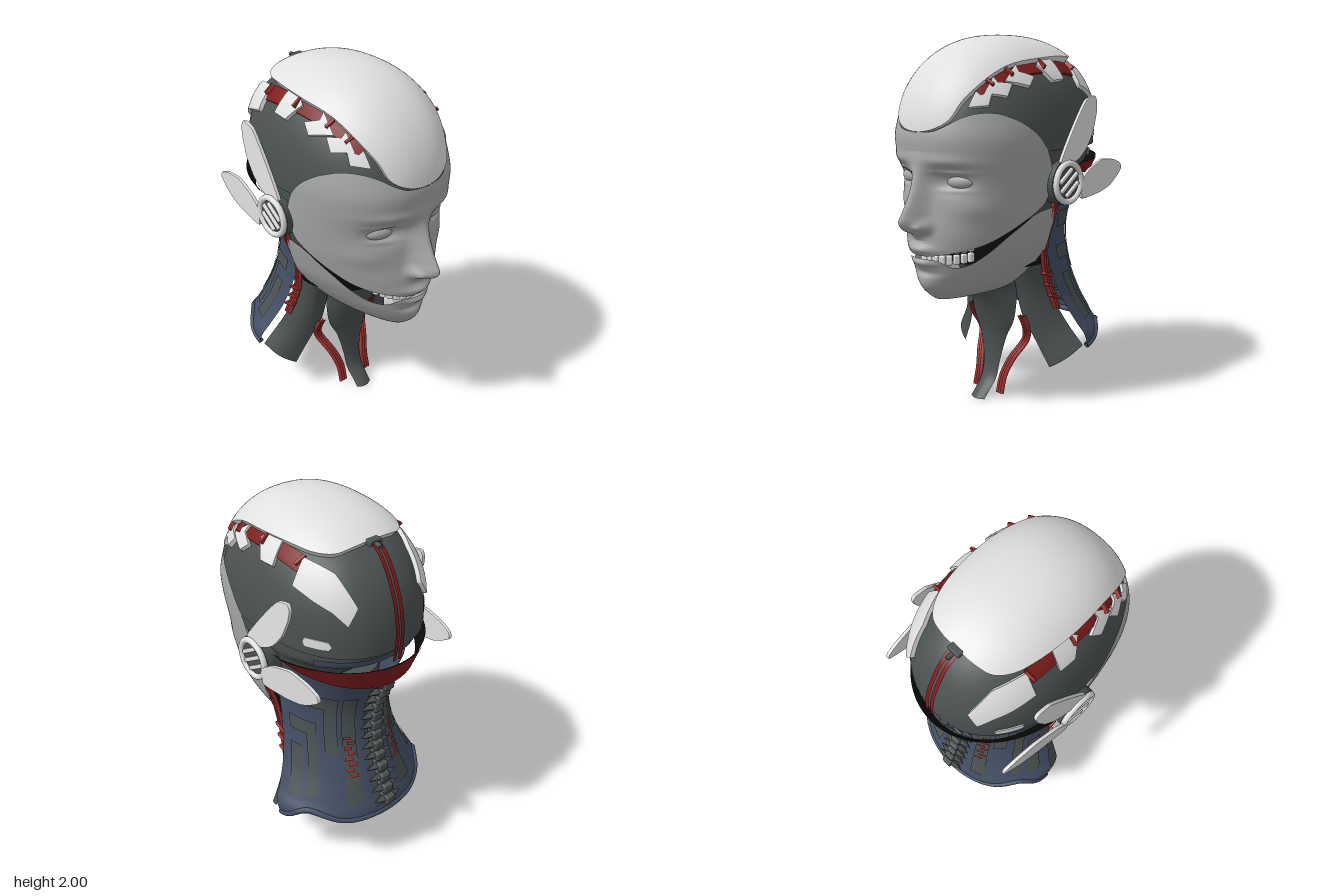
import * as THREE from 'three';
import { ParametricGeometry } from 'three/addons/geometries/ParametricGeometry.js';
import { RoundedBoxGeometry } from 'three/addons/geometries/RoundedBoxGeometry.js';

const V = (x, y, z) => new THREE.Vector3(x, y, z);
const rad = THREE.MathUtils.degToRad, lerp = THREE.MathUtils.lerp;
const spow = (v, e) => Math.sign(v) * Math.abs(v) ** e;
const bump = (x, y, cx, cy, sx, sy) => Math.exp(-(((x - cx) / sx) ** 2) - ((y - cy) / sy) ** 2);

// smooth lookup through rows [x, value, value...]
const tab = rows => (x, k = 1) => {
  const n = rows.length - 1;
  x = Math.min(Math.max(x, rows[0][0]), rows[n][0]);
  let i = 0;
  while (i < n - 1 && x > rows[i + 1][0]) i++;
  const slope = j => {
    const a = rows[Math.max(j - 1, 0)], b = rows[Math.min(j + 1, n)];
    return (b[k] - a[k]) / (b[0] - a[0]);
  };
  const h = rows[i + 1][0] - rows[i][0], t = (x - rows[i][0]) / h, t2 = t * t, t3 = t2 * t;
  return (2 * t3 - 3 * t2 + 1) * rows[i][k] + (t3 - 2 * t2 + t) * h * slope(i)
    + (3 * t2 - 2 * t3) * rows[i + 1][k] + (t3 - t2) * h * slope(i + 1);
};
const surf = (fn, nu, nv) => new ParametricGeometry((u, v, t) => t.copy(fn(u, v)), nu, nv);
const curve = pts => new THREE.CatmullRomCurve3(pts.map(p => V(...p)));
const tube = (pts, r, n = 40) => new THREE.TubeGeometry(curve(pts), n, r, 8);

// cranium dome, rounder at the front: push any point radially onto it
const C = V(0, 1.42, -0.04), S = V(0.425, 0.54, 0.59);
const roundness = t => 2.3 - 0.2 * t;
function onDome(p, off = 0, rise = 0) {
  const d = p.clone().sub(C).divide(S), n = roundness(d.z / d.length());
  const plan = (Math.abs(d.x) ** 2.3 + Math.abs(d.z) ** 2.3) ** (1 / 2.3);
  d.divideScalar((plan ** n + Math.abs(d.y) ** n) ** (1 / n));
  return d.clone().multiply(S).multiplyScalar(1 + 2 * (off + rise * Math.max(0, d.y))).add(C);
}
function lift(p) {
  if (p.length === 3) return V(...p);
  const dz = (p[1] - C.z) / S.z, n = roundness(dz);
  const r = (Math.abs(p[0] / S.x) ** 2.3 + Math.abs(dz) ** 2.3) ** (1 / 2.3);
  return V(p[0], C.y + S.y * Math.max(0.02, 1 - r ** n) ** (1 / n), p[1]);
}
// thick plate hugging the dome inside an outline of [x, z] or [x, y, z]
function domePlate(outline, off, rise = 0, smooth = false, thick = 0.03, n = 8) {
  const pts = outline.map(lift);
  const edge = smooth ? new THREE.CatmullRomCurve3(pts, true).getPoints(96).slice(0, -1)
    : pts.flatMap((p, i) => [0, 1, 2, 3, 4].map(k => p.clone().lerp(pts[(i + 1) % pts.length], k / 5)));
  const m = edge.length, c = V(0, 0, 0), nrm = V(0, 0, 0);
  edge.forEach(p => c.addScaledVector(p, 1 / m));
  edge.forEach((p, i) => nrm.add(p.clone().sub(c).cross(edge[(i + 1) % m].clone().sub(c))));
  if (nrm.dot(c.clone().sub(C)) < 0) edge.reverse();
  const out = [onDome(c, off, rise)], idx = [];
  for (let k = 1; k <= n; k++) edge.forEach(p => out.push(onDome(c.clone().lerp(p, k / n), off, rise)));
  edge.forEach(p => out.push(onDome(p, off, rise)));
  edge.forEach(p => out.push(onDome(p, off - thick, rise)));
  for (let i = 0; i < m; i++) {
    const j = (i + 1) % m;
    idx.push(0, 1 + i, 1 + j);
    for (let k = 0; k <= n; k++) {
      if (k === n - 1) continue;
      const a = 1 + k * m, b = a + m;
      idx.push(a + i, b + i, b + j, a + i, b + j, a + j);
    }
  }
  const g = new THREE.BufferGeometry().setFromPoints(out);
  g.setIndex(idx);
  g.computeVertexNormals();
  return g;
}

// face: half width and front depth by height, plus soft features
const faceRows = tab([[0.62, 0.06, 0.37], [0.65, 0.13, 0.44], [0.7, 0.2, 0.49], [0.78, 0.265, 0.53], [0.85, 0.31, 0.54],
  [0.92, 0.345, 0.555], [1, 0.37, 0.555], [1.1, 0.395, 0.54], [1.2, 0.41, 0.53], [1.3, 0.42, 0.535], [1.4, 0.427, 0.558],
  [1.5, 0.43, 0.566], [1.6, 0.417, 0.54], [1.66, 0.4, 0.522]]);
const noseRows = tab([[0.98, 0, 0.05], [1.01, 0.03, 0.05], [1.045, 0.105, 0.05], [1.085, 0.14, 0.05], [1.12, 0.128, 0.048],
  [1.2, 0.088, 0.048], [1.3, 0.046, 0.053], [1.36, 0.02, 0.07], [1.43, 0, 0.09]]);
function face(a, y) {
  const e = lerp(1.03, 0.87, THREE.MathUtils.smoothstep(y, 0.85, 1.5));
  const x = faceRows(y, 1) * spow(Math.sin(a), e), ax = Math.abs(x);
  let z = C.z + (faceRows(y, 2) - C.z) * spow(Math.cos(a), e);
  z += noseRows(y, 1) * Math.exp(-((x / noseRows(y, 2)) ** 2)) + 0.045 * bump(ax, y, 0.06, 1.055, 0.025, 0.028);
  z += -0.045 * bump(ax, y, 0.165, 1.285, 0.085, 0.055) + 0.012 * bump(ax, y, 0.17, 1.385, 0.11, 0.03);
  z += 0.012 * bump(ax, y, 0.18, 1.33, 0.07, 0.012) + 0.008 * bump(ax, y, 0.18, 1.24, 0.07, 0.014);
  z += 0.015 * bump(ax, y, 0.27, 1.15, 0.08, 0.06) + 0.025 * bump(x, y, 0, 0.935, 0.09, 0.024);
  z += 0.022 * bump(x, y, 0, 0.862, 0.085, 0.02) - 0.016 * bump(x, y, 0, 0.805, 0.08, 0.02) + 0.015 * bump(x, y, 0, 0.73, 0.08, 0.05);
  return V(x, y, z);
}
const shell = (lim, top, bot, nu, nv) => surf((u, v) => {
  const d = (u * 2 - 1) * lim;
  return face(rad(d), lerp(bot(Math.abs(d)), top(Math.abs(d)), v));
}, nu, nv);

// neck collar: d is degrees away from the back
const collarRows = tab([[0.28, 0.45, -0.3, -0.65], [0.38, 0.46, -0.26, -0.64], [0.45, 0.42, -0.235, -0.61], [0.6, 0.35, -0.18, -0.55],
  [0.8, 0.31, -0.12, -0.485], [1, 0.305, -0.09, -0.48], [1.25, 0.34, -0.14, -0.57]]);
function collar(d, y, off = 0) {
  const c = collarRows(y, 2), b = rad(d);
  return V((collarRows(y, 1) + off) * Math.sin(b), y, c - (c - collarRows(y, 3) + off) * Math.cos(b));
}
const collarPatch = (d0, d1, y0, y1, off = 0.007) => surf((u, v) => collar(lerp(d1, d0, u), lerp(y0, y1, v), off), 10, 16);

// left-side geometry turned into its right-side twin
function mirror(geo) {
  const g = geo.index ? geo.toNonIndexed() : geo.clone();
  g.applyMatrix4(new THREE.Matrix4().makeScale(-1, 1, 1));
  for (const at of Object.values(g.attributes)) {
    const s = at.itemSize, arr = at.array;
    for (let i = 0; i < at.count; i += 3) for (let k = 0; k < s; k++) {
      const p = (i + 1) * s + k, q = (i + 2) * s + k, t = arr[p];
      arr[p] = arr[q]; arr[q] = t;
    }
  }
  return g;
}

export function createModel() {
  const root = new THREE.Group();
  root.name = 'androidHead';
  const mat = (name, color, side = THREE.FrontSide) => Object.assign(new THREE.MeshStandardMaterial({ color, side }), { name });
  const white = mat('whitePlate', 0xe0e0e0), grey = mat('greySkin', 0xa7a8a8, THREE.DoubleSide);
  const dark = mat('darkShell', 0x4b5151, THREE.DoubleSide), blue = mat('blueCollar', 0x434e63, THREE.DoubleSide);
  const red = mat('redCable', 0xa03030), deepRed = mat('redBand', 0x7c1c1c), black = mat('blackInside', 0x0c0c0c, THREE.DoubleSide);
  const add = (name, g, m) => { const o = new THREE.Mesh(g, m); o.name = name; root.add(o); };
  const pair = (name, g, m) => { add(name + 'Left', g, m); add(name + 'Right', mirror(g), m); };

  // cranium, skull base and blue ring
  add('cranium', surf((u, v) => {
    const a = u * Math.PI * 2, p = (1 - v * 0.999) * Math.PI / 2;
    return onDome(V(Math.sin(a) * S.x * Math.sin(p), S.y * Math.cos(p), Math.cos(a) * S.z * Math.sin(p)).add(C));
  }, 96, 40), dark);
  const baseRows = tab([[1.04, 0.34, 0.08, -0.2], [1.15, 0.375, 0.2, -0.35], [1.3, 0.39, 0.3, -0.5], [1.34, 0.405, 0.35, -0.57], [1.43, 0.41, 0.38, -0.59]]);
  const ring = (a0, a1, y0, y1, off) => surf((u, v) => {
    const a = rad(lerp(a0, a1, u)), y = lerp(y0, y1, v), c = Math.cos(a);
    return V((baseRows(y, 1) + off) * spow(Math.sin(a), 0.87), y, C.z + (c > 0 ? baseRows(y, 2) - C.z : C.z - baseRows(y, 3) + off) * spow(c, 0.87));
  }, 72, 16);
  add('skullBase', ring(0, 360, 1.04, 1.43, 0), dark);
  add('skullRing', ring(130, 230, 1.345, 1.385, 0.012), blue);

  // white cap with side plates, red strips and clips
  const half = [[0.1, -0.395], [0.18, -0.37], [0.235, -0.3], [0.265, -0.2], [0.285, 0], [0.27, 0.2], [0.24, 0.36],
    [0.215, 1.67, 0.45], [0.18, 1.585, 0.5], [0.1, 1.54, 0.54]];
  const flip = half.map(p => [-p[0], ...p.slice(1)]).reverse();
  add('cap', domePlate([[0, -0.4], ...half, [0, 1.525, 0.55], ...flip], 0.014, 0.026, true, 0.035, 24), white);
  [[[0.27, -0.265], [0.345, -0.28], [0.315, -0.4], [0.275, -0.48], [0.235, -0.54], [0.185, -0.545], [0.215, -0.42]],
    [[0.27, -0.12], [0.35, -0.14], [0.355, -0.05], [0.3, 0.015], [0.28, -0.02]],
    [[0.275, 0.14], [0.3, 0.15], [0.335, 0.07], [0.352, 0.12], [0.3, 0.24]],
    [[0.262, 0.28], [0.285, 0.275], [0.32, 0.21], [0.333, 0.255], [0.27, 0.35]],
    [[0.24, 0.375], [0.262, 0.365], [0.29, 0.315], [0.3, 0.35], [0.238, 0.425]]].forEach((o, i) => pair('sidePlate' + i, domePlate(o, 0.02), white));
  pair('redStrip', domePlate([[0.26, -0.27], [0.28, 0], [0.262, 0.2], [0.225, 0.38], [0.262, 0.38], [0.305, 0.2], [0.325, 0], [0.315, -0.27]], 0.009, 0, false, 0.02), deepRed);
  pair('sideBadge', domePlate([[0.36, 1.462, -0.395], [0.32, 1.462, -0.46], [0.3, 1.465, -0.49], [0.29, 1.485, -0.5], [0.3, 1.508, -0.49],
    [0.32, 1.511, -0.46], [0.36, 1.511, -0.395], [0.366, 1.508, -0.385], [0.37, 1.485, -0.378], [0.366, 1.465, -0.385]], 0.006, 0, false, 0.015), white);
  [[0.285, -0.26], [0.3, -0.02], [0.285, 0.2], [0.262, 0.31]].forEach((p, i) => {
    const q = onDome(lift(p), 0.022), g = new THREE.BoxGeometry(0.06, 0.022, 0.014);
    g.applyQuaternion(new THREE.Quaternion().setFromUnitVectors(V(0, 1, 0), q.clone().sub(C).normalize()));
    pair('stripClip' + i, g.translate(q.x, q.y, q.z), red);
  });

  // twin flat cable down the back of the cranium
  const backLine = curve([[0, 1.92, -0.43], [0, 1.87, -0.505], [0, 1.7, -0.605], [0, 1.53, -0.645], [0, 1.36, -0.638]]);
  pair('backCable', surf((u, v) => backLine.getPoint(1 - v).setX(lerp(0.027, 0.005, u)), 2, 40), deepRed);
  add('cableSocket', new RoundedBoxGeometry(0.07, 0.03, 0.05, 2, 0.006).translate(0, 1.91, -0.425), dark);
  add('cablePin', new THREE.CylinderGeometry(0.012, 0.012, 0.05, 10).rotateX(Math.PI / 2).translate(0, 1.905, -0.46), dark);

  // face mask and hinged jaw
  add('faceMask', shell(87,
    tab([[0, 1.525], [12, 1.535], [20, 1.56], [30, 1.6], [40, 1.62], [52, 1.62], [62, 1.595], [70, 1.56], [78, 1.5], [84, 1.41], [87, 1.3]]),
    tab([[0, 0.9], [12, 0.903], [22, 0.913], [35, 0.93], [42, 0.943], [52, 0.972], [62, 1.02], [70, 1.065], [78, 1.115], [84, 1.17], [87, 1.28]]), 150, 90), grey);
  add('jaw', shell(91,
    tab([[0, 0.886], [12, 0.884], [20, 0.877], [26, 0.852], [32, 0.842], [42, 0.858], [52, 0.915], [62, 0.995], [70, 1.053], [78, 1.103], [91, 1.125]]),
    tab([[0, 0.642], [60, 0.65], [76, 0.67], [83, 0.74], [91, 0.88]]), 100, 40), grey);
  const eyeAt = face(Math.asin((0.18 / faceRows(1.285, 1)) ** 1.08), 1.285);
  pair('eye', new THREE.SphereGeometry(1, 28, 18).scale(0.08, 0.04, 0.045).rotateY(0.35).translate(0.18, 1.283, eyeAt.z - 0.02), grey);

  // teeth in front of a dark mouth
  add('mouthCavity', new THREE.CylinderGeometry(1, 0.9, 0.32, 48).scale(0.32, 1, 0.32).translate(0, 0.95, -0.05), black);
  for (let i = 0; i < 14; i++) {
    const a = rad(-84 + i * 168 / 13);
    for (const [name, y] of [['upperTooth', 0.925], ['lowerTooth', 0.868]])
      add(name + i, new RoundedBoxGeometry(0.034, 0.052, 0.028, 2, 0.009).rotateY(a).translate(0.13 * Math.sin(a), y, 0.29 + 0.2 * Math.cos(a)), white);
  }

  // ear discs with slanted bars
  const disc = (r, x0, x1) => new THREE.CylinderGeometry(r, r, x1 - x0, 48).rotateZ(Math.PI / 2).translate((x0 + x1) / 2, 1.25, -0.08);
  pair('earHub', disc(0.118, 0.35, 0.445), dark);
  pair('earFace', disc(0.095, 0.43, 0.457), dark);
  pair('earRing', new THREE.TorusGeometry(0.1, 0.017, 12, 48).rotateY(Math.PI / 2).translate(0.456, 1.25, -0.08), white);
  [-0.045, 0, 0.045].forEach((o, i) => pair('earBar' + i,
    new RoundedBoxGeometry(0.02, 0.022, i === 1 ? 0.16 : 0.12, 2, 0.006).translate(0, o, 0).rotateX(rad(35)).translate(0.46, 1.25, -0.08), white));

  // ear fins, drawn as [-z, y], leaning inwards
  const fin = (pts, lean) => {
    const s = new THREE.Shape(new THREE.CatmullRomCurve3(pts.map(p => V(p[0], p[1], 0)), true, 'catmullrom', 0.25).getPoints(66).map(p => new THREE.Vector2(p.x, p.y)));
    const g = new THREE.ExtrudeGeometry(s, { depth: 0.01, bevelThickness: 0.005, bevelSize: 0.004, bevelSegments: 2 }).rotateY(Math.PI / 2);
    const p = g.attributes.position;
    for (let i = 0; i < p.count; i++) p.setX(i, p.getX(i) + lean(p.getY(i), -p.getZ(i)));
    g.computeVertexNormals();
    return g;
  };
  pair('upperFin', fin([[0.03, 1.36], [0.09, 1.45], [0.19, 1.58], [0.265, 1.662], [0.335, 1.682], [0.352, 1.655], [0.345, 1.6], [0.305, 1.5], [0.245, 1.42], [0.185, 1.375], [0.1, 1.34]],
    y => 0.437 - 0.085 * (y - 1.35)), white);
  pair('lowerFin', fin([[0.185, 1.25], [0.25, 1.3], [0.38, 1.342], [0.5, 1.33], [0.568, 1.305], [0.58, 1.275], [0.53, 1.235], [0.46, 1.195], [0.35, 1.17], [0.185, 1.16]],
    (y, s) => 0.455 - 0.09 * (s - 0.2)), white);

  // red band around the back, black within
  const band = (sign, r) => surf((u, v) => {
    const b = rad((1 - 2 * u) * 82 * sign), c = Math.cos(b), f = r - 0.015 + 0.045 * v;
    return V((0.415 + f) * Math.sin(b), lerp(1.315 - 0.095 * c, 1.34 + 0.02 * c, v), -0.13 - (0.51 + f) * c);
  }, 60, 6);
  add('neckBand', band(1, 0), deepRed);
  add('neckBandLining', band(-1, -0.005), black);

  // collar with panels and lacing
  const hem = tab([[0, 0.34], [30, 0.345], [60, 0.395], [80, 0.33], [92, 0.3]]);
  add('collar', surf((u, v) => { const d = 92 - 184 * u; return collar(d, lerp(hem(Math.abs(d)), 1.25, v)); }, 72, 40), blue);
  add('collarHem', tube(Array.from({ length: 25 }, (_, i) => { const d = 92 - i * 184 / 24; return collar(d, hem(Math.abs(d)) + 0.012, -0.005).toArray(); }), 0.016, 80), blue);
  [[35, 77, 0.98, 1.07], [35, 47, 0.7, 0.98], [54, 80, 0.8, 0.88], [54, 63, 0.48, 0.8], [68, 80, 0.46, 0.72], [18, 31, 0.44, 1.07]]
    .forEach((p, i) => pair('collarPanel' + i, collarPatch(...p), dark));
  for (let i = 0; i < 8; i++) pair('lacing' + i, collarPatch(20 + (i % 2) * 3, 27 + (i % 2) * 3, 0.59 + i * 0.03, 0.607 + i * 0.03, 0.015), red);

  // spine
  add('spineStrip', collarPatch(-9, 9, 0.4, 1.22), dark);
  for (let i = 0; i < 13; i++) {
    const p = collar(0, 0.44 + i * 0.062, 0.025);
    add('vertebra' + i, new THREE.OctahedronGeometry(1).scale(0.095, 0.042, 0.035).translate(0, p.y, p.z), dark);
    add('vertebraCore' + i, new RoundedBoxGeometry(0.06, 0.054, 0.075, 2, 0.01).translate(0, p.y, p.z), dark);
  }

  // inner neck, throat and side flaps
  add('neckCore', new THREE.CylinderGeometry(0.24, 0.2, 0.5, 40).scale(1, 1, 0.85).translate(0, 0.87, -0.2), dark);
  const throat = tab([[0, 0.05, 0.15, 0.02], [0.03, 0.05, 0.12, 0.02], [0.1, 0.055, 0.055, 0.015], [0.2, 0.062, 0.03, 0.015], [0.35, 0.1, 0.037, 0.035],
    [0.45, 0.15, 0.06, 0.06], [0.55, 0.17, 0.1, 0.1], [0.65, 0.175, 0.16, 0.16], [0.8, 0.2, 0.25, 0.23]]);
  add('throat', surf((u, v) => {
    const s = u * 2 - 1, y = v * 0.8;
    return V(s * throat(y, 1), y, throat(y, 2) - throat(y, 3) * s * s);
  }, 24, 50), dark);
  const inner = curve([[0.33, 0.2, -0.1], [0.25, 0.35, -0.07], [0.195, 0.48, -0.03], [0.175, 0.62, 0], [0.2, 0.82, 0.06], [0.24, 1, 0.07]]);
  const outer = curve([[0.455, 0.325, -0.235], [0.365, 0.45, -0.2], [0.308, 0.6, -0.14], [0.288, 0.72, -0.09], [0.29, 0.86, -0.06], [0.3, 1, -0.05]]);
  pair('neckFlap', surf((u, v) => {
    const k = 0.022 * Math.sin(Math.PI * u);
    return inner.getPoint(v).lerp(outer.getPoint(v), u).add(V(k, 0, k));
  }, 14, 36), dark);

  // triple cables: front of the throat, and from ear to collar
  [-1, 0, 1].forEach(k => {
    const o = k * 0.016;
    pair('throatCable' + (k + 2), tube([[0.19, 0.49, -0.02], [0.198, 0.42, -0.05], [0.168, 0.33, -0.085], [0.12, 0.22, -0.02], [0.092, 0.12, 0.02], [0.09, 0.025, 0.045]]
      .map(p => [p[0] + o, p[1], p[2]]), 0.011), red);
    pair('sideCable' + (k + 2), tube([[0.405, 1.17, -0.05], [0.37, 1.04, -0.045], [0.325, 0.92, -0.055], [0.308, 0.8, -0.075], [0.306, 0.68, -0.11], [0.325, 0.53, -0.165]]
      .map(p => [p[0], p[1], p[2] + o]), 0.01), red);
  });
  [[0.31, 0.73, -0.1], [0.313, 0.665, -0.12], [0.32, 0.6, -0.145]].forEach((p, i) =>
    pair('cableClip' + i, new RoundedBoxGeometry(0.03, 0.016, 0.085, 1, 0.005).rotateX(rad(-20)).translate(...p), red));
  return root;
}
